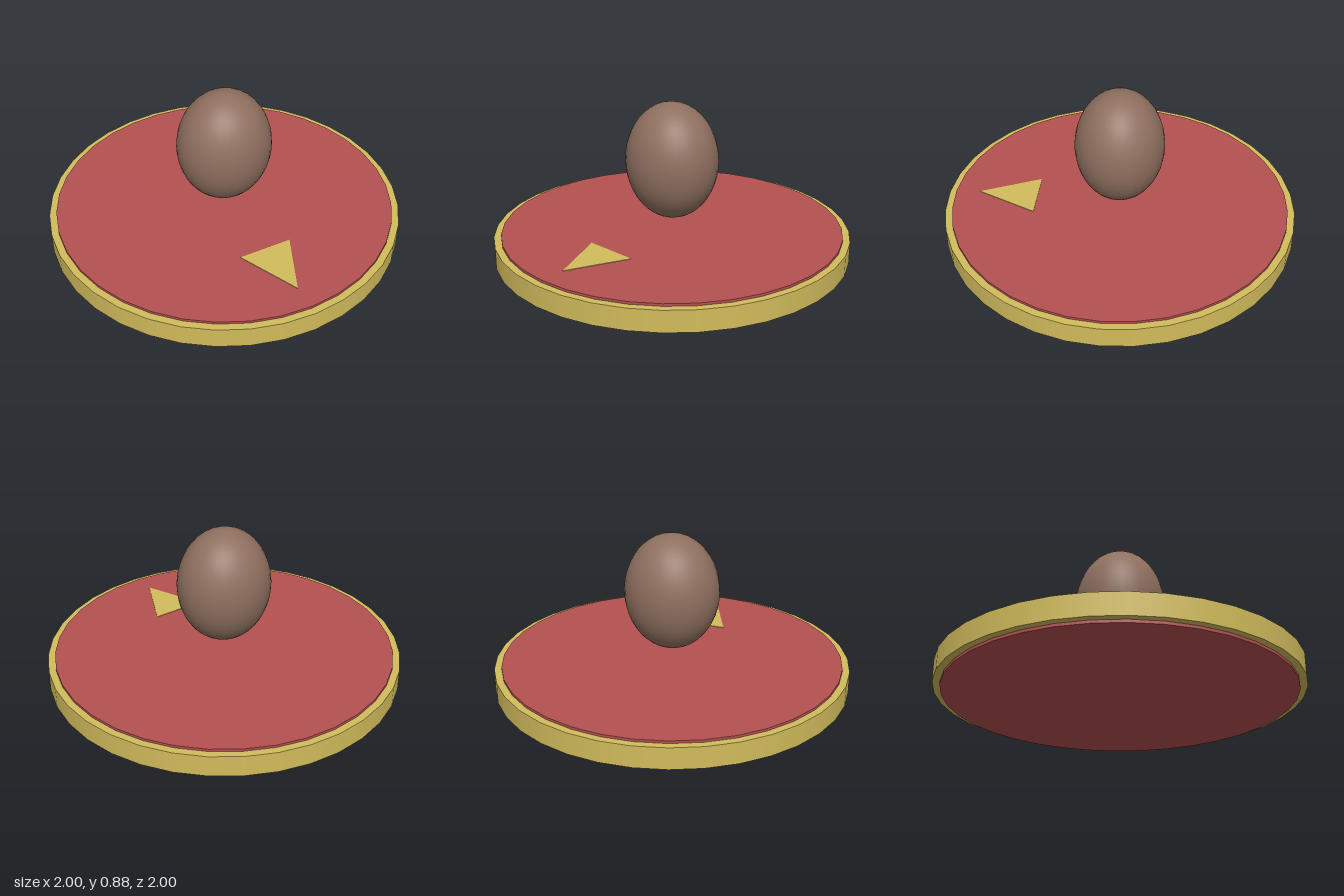
import * as THREE from 'three';

const SIDES = 36;

function material(name, color) {
  const m = new THREE.MeshStandardMaterial({ color });
  m.name = name;
  return m;
}

export function createModel() {
  const model = new THREE.Group();
  model.name = 'discMarker';

  const red = material('red', 0xb35051);
  const gold = material('gold', 0xd2bc5c);
  const brown = material('brown', 0x8f705f);

  const add = (name, geometry, mat, y) => {
    const mesh = new THREE.Mesh(geometry, mat);
    mesh.name = name;
    mesh.position.y = y;
    model.add(mesh);
    return mesh;
  };

  // Round base, with a wider and slightly thinner band around it
  add('baseDisc', new THREE.CylinderGeometry(0.96, 0.96, 0.15, SIDES), red, 0.075);
  add('rimBand', new THREE.CylinderGeometry(1, 1, 0.12, SIDES), gold, 0.076);

  // Flat arrow on the base, pointing to the front
  const arrow = new THREE.Shape([
    new THREE.Vector2(-0.152, -0.48),
    new THREE.Vector2(0, -0.82),
    new THREE.Vector2(0.152, -0.48),
  ]);
  const arrowGeometry = new THREE.ExtrudeGeometry(arrow, { depth: 0.004, bevelEnabled: false });
  arrowGeometry.rotateX(-Math.PI / 2);
  add('frontArrow', arrowGeometry, gold, 0.149);

  // Egg-shaped body floating over the centre
  const body = new THREE.SphereGeometry(1, 32, 24);
  body.scale(0.268, 0.33, 0.25);
  add('floatingBody', body, brown, 0.545);

  return model;
}
